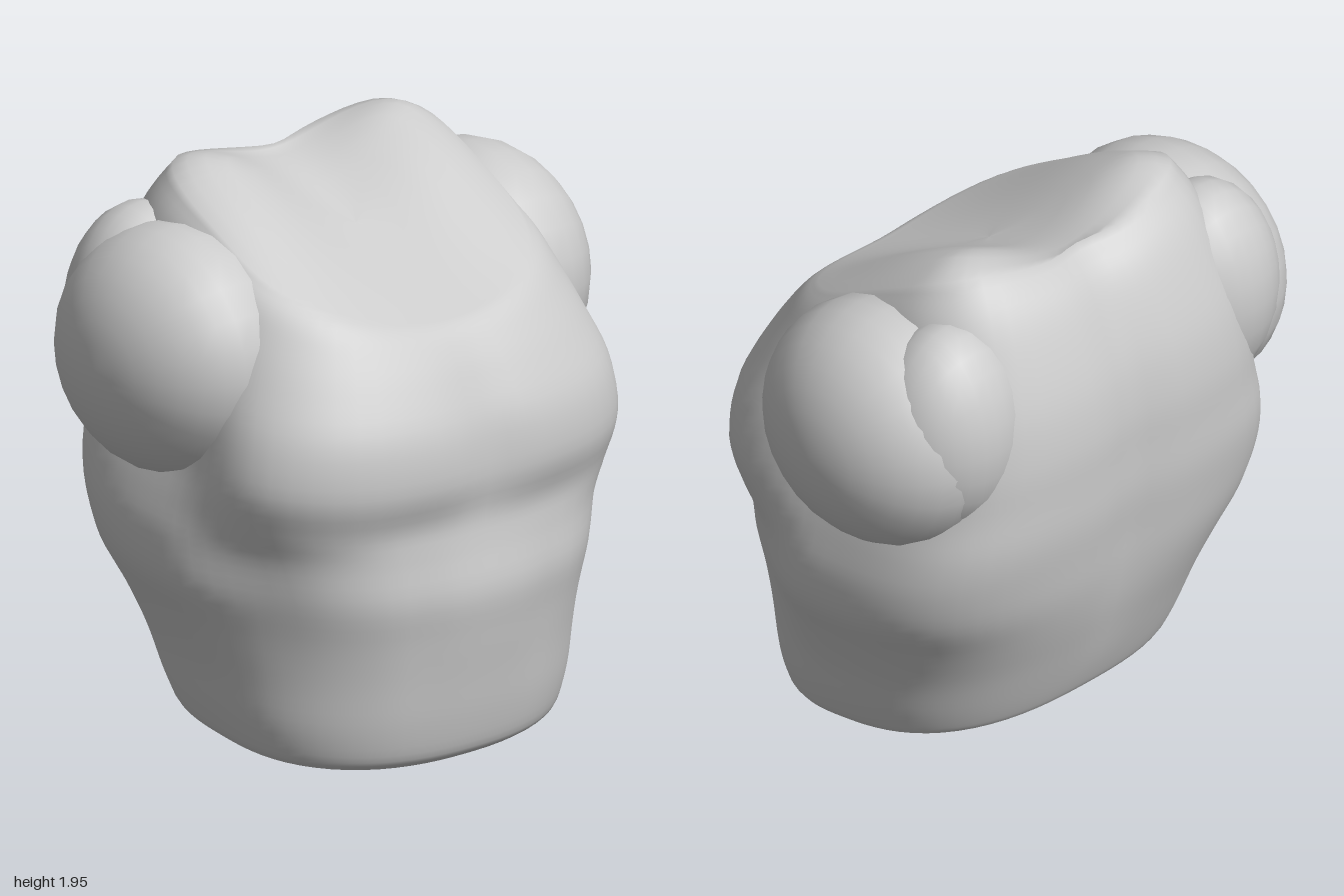
import * as THREE from 'three';

const SEG = 72;
const material = new THREE.MeshStandardMaterial({ color: 0xcccccc, side: THREE.DoubleSide });

// Tilted torso sections: front y, front z, back y, back z, front half width, back half width
const sections = [
  [0.00, 0.55, 0.155, -0.445, 0.635, 0.625],
  [0.035, 0.59, 0.18, -0.46, 0.65, 0.645],
  [0.15, 0.62, 0.25, -0.49, 0.675, 0.675],
  [0.30, 0.645, 0.38, -0.54, 0.69, 0.71],
  [0.45, 0.67, 0.55, -0.60, 0.71, 0.77],
  [0.60, 0.69, 0.70, -0.64, 0.735, 0.835],
  [0.75, 0.67, 0.85, -0.665, 0.77, 0.845],
  [0.86, 0.67, 1.00, -0.685, 0.82, 0.82],
  [1.00, 0.70, 1.15, -0.69, 0.85, 0.78],
  [1.17, 0.685, 1.32, -0.69, 0.82, 0.75],
  [1.32, 0.615, 1.50, -0.66, 0.75, 0.71],
  [1.42, 0.545, 1.68, -0.59, 0.68, 0.66],
  [1.465, 0.495, 1.79, -0.52, 0.63, 0.62],
  [1.485, 0.45, 1.85, -0.43, 0.57, 0.57],
];
const LAST = sections.length - 1;
const curveOf = (k, w) => new THREE.CatmullRomCurve3(
  sections.map((s) => new THREE.Vector3(s[w], s[k], s[k + 1])), false, 'catmullrom', 0.5);
const frontCurve = curveOf(0, 4);
const backCurve = curveOf(2, 5);

const bell = (v, w) => Math.exp(-((v / w) ** 2));
const step = THREE.MathUtils.smoothstep;
const lerp = THREE.MathUtils.lerp;

// One ring of the torso; scale < 1 gives the inner rings of the caps
function ring(u, scale = 1) {
  const f = frontCurve.getPoint(u / LAST);
  const b = backCurve.getPoint(u / LAST);
  const mid = (f.z + b.z) / 2, half = (f.z - b.z) / 2;
  const chest = bell(u - 8.6, 2), top = step(u, 8.5, 12.8);
  const points = [];
  for (let i = 0; i < SEG; i++) {
    const a = (i / SEG) * Math.PI * 2;
    const c = Math.cos(a), s = Math.sin(a);
    const n = s > 0 ? 2.35 + 0.45 * step(u, 3, 8) : 2.6 + 1.2 * step(u, 3, 8);
    const r = scale * (Math.abs(c) ** n + Math.abs(s) ** n) ** (-1 / n);
    const x = lerp(b.x, f.x, step(s, 0, 0.58)) * r * c;
    let z = mid + half * r * s;
    let y = lerp(b.y, f.y, (z - b.z) / (f.z - b.z));
    const ax = Math.abs(x);
    if (scale === 1) {
      // breastbone groove, crease under the chest, belly grooves, spine groove
      if (s > 0) {
        z -= s * 0.03 * chest * bell(x, 0.12);
        z -= s * 0.012 * bell(u - 7, 0.7) * bell(ax - 0.3, 0.22);
        z -= s * 0.012 * bell(ax - 0.27, 0.08) * bell(u - 4.5, 1.8);
      } else z -= s * 0.035 * bell(x, 0.11) * step(u, 2, 6);
    }
    // raised shoulder tops on both sides of the neck hollow
    const g = bell(z + 0.22, z > -0.22 ? 0.56 : 0.22);
    y += 0.175 * top * g * (0.22 + 0.78 * step(ax, 0, 0.42)) * (1 - 0.42 * step(ax, 0.42, 0.62));
    points.push(x, y, z);
  }
  return points;
}

function loft(rings) {
  const index = [];
  for (let j = 0; j < rings.length - 1; j++)
    for (let i = 0; i < SEG; i++) {
      const k = (i + 1) % SEG;
      const a = j * SEG + i, b = j * SEG + k, c = a + SEG, d = b + SEG;
      index.push(a, c, b, b, c, d);
    }
  const geometry = new THREE.BufferGeometry();
  geometry.setAttribute('position', new THREE.Float32BufferAttribute(rings.flat(), 3));
  geometry.setIndex(index);
  geometry.computeVertexNormals();
  return geometry;
}

export function createModel() {
  const group = new THREE.Group();
  const add = (name, geometry) => {
    const mesh = new THREE.Mesh(geometry, material);
    mesh.name = name;
    group.add(mesh);
    return mesh;
  };
  const addBall = (name, radii, position) => {
    const ball = new THREE.SphereGeometry(1, 24, 16);
    ball.rotateZ(Math.PI / 2);
    ball.scale(...radii);
    add(name, ball).position.set(...position);
  };

  // Body wall followed by the hollow between the shoulders
  const wall = [];
  for (let k = 0; k <= LAST * 4; k++) wall.push(ring(k / 4));
  for (const s of [0.92, 0.82, 0.7, 0.56, 0.42, 0.28, 0.14, 0.002]) wall.push(ring(LAST, s));
  add('torso', loft(wall));

  // Flat, tilted underside
  add('waistBase', loft([ring(0, 0.002), ring(0, 0.5), ring(0)]));

  // Ball shoulders, with the muscle that joins each one to the back
  for (const [side, x] of [['left', 1], ['right', -1]]) {
    addBall(side + 'Shoulder', [0.35, 0.425, 0.445], [x * 0.65, 1.37, -0.155]);
    addBall(side + 'ShoulderBack', [0.27, 0.38, 0.25], [x * 0.59, 1.43, -0.38]);
  }
  return group;
}
